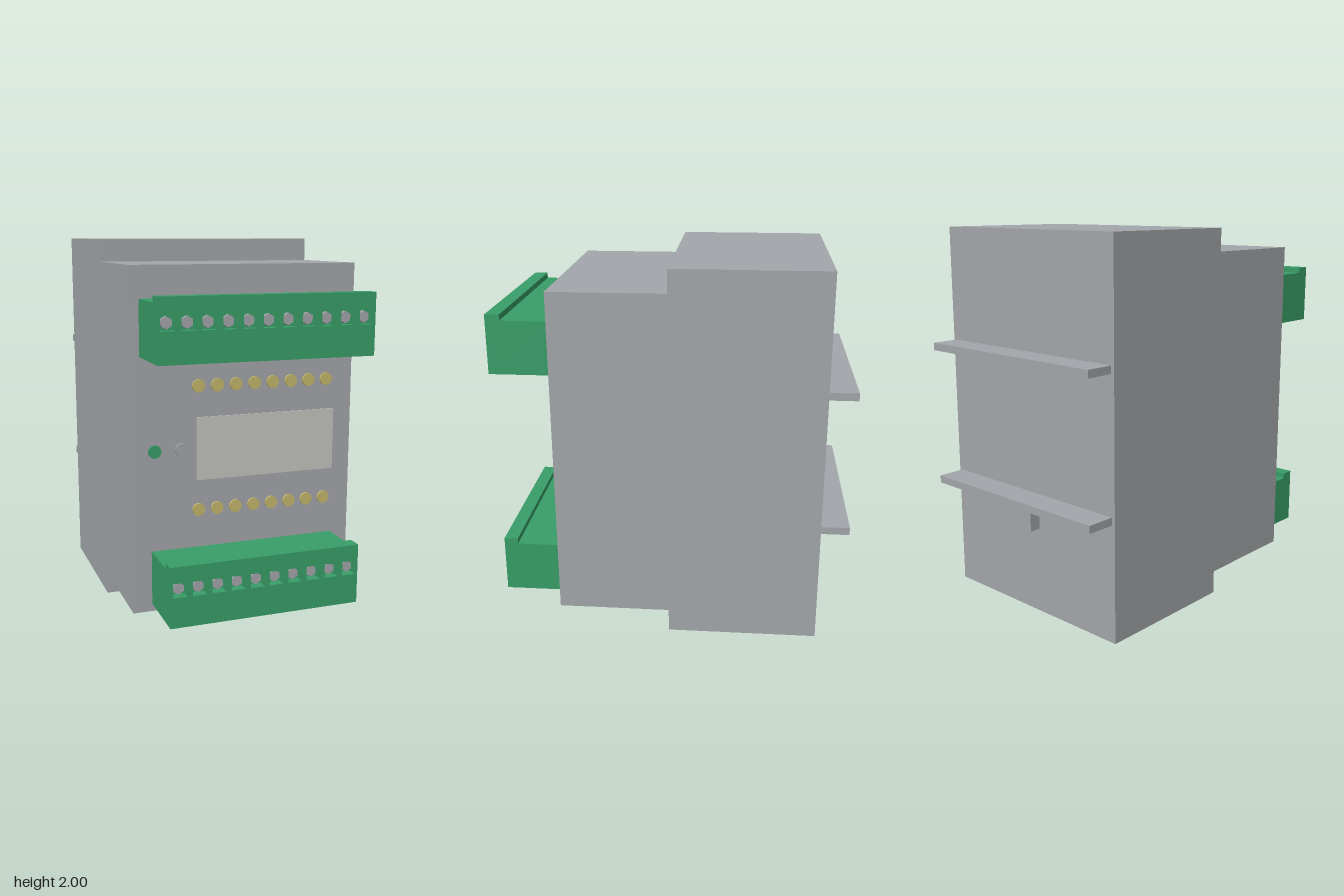
import * as THREE from 'three';

const mat = (name, color) => new THREE.MeshStandardMaterial({ name, color });

export function createModel() {
  const grey = mat('housing grey', 0xa3a6aa);
  const green = mat('terminal green', 0x389e67);
  const yellow = mat('lamp yellow', 0xc4b86c);
  const pale = mat('panel pale grey', 0xc3c3c0);
  const dark = mat('wire hole dark', 0x1c1f1e);

  const model = new THREE.Group();
  model.name = 'railModule';
  const FRONT = 0.615, BACK = -0.785;

  const add = (parent, name, geo, material) => {
    const mesh = new THREE.Mesh(geo, material);
    mesh.name = name;
    parent.add(mesh);
    return mesh;
  };
  // box given by its limits on each axis
  const box = (parent, name, material, [x0, x1], [y0, y1], [z0, z1]) =>
    add(parent, name, new THREE.BoxGeometry(x1 - x0, y1 - y0, z1 - z0), material)
      .position.set((x0 + x1) / 2, (y0 + y1) / 2, (z0 + z1) / 2);
  // round piece whose axis points to the front
  const disc = (parent, name, material, x, y, z0, z1, r, sides) => {
    const geo = new THREE.CylinderGeometry(r, r, z1 - z0, sides).rotateX(Math.PI / 2);
    add(parent, name, geo, material).position.set(x, y, (z0 + z1) / 2);
  };
  // slab in the XY plane with a row of square holes
  const slabWithHoles = (w, y0, y1, depth, xs, holeY, s) => {
    const shape = new THREE.Shape([
      [-w, y0], [w, y0], [w, y1], [-w, y1],
    ].map(p => new THREE.Vector2(...p)));
    for (const x of xs) {
      shape.holes.push(new THREE.Path([
        [x - s, holeY - s], [x - s, holeY + s], [x + s, holeY + s], [x + s, holeY - s],
      ].map(p => new THREE.Vector2(...p))));
    }
    return new THREE.ExtrudeGeometry(shape, { depth, bevelEnabled: false });
  };

  // stepped housing: side profile (z, y) swept along x
  const profile = new THREE.Shape([
    [BACK, 0], [0.015, 0], [0.015, 0.125], [FRONT, 0.125],
    [FRONT, 1.88], [0.015, 1.88], [0.015, 2], [BACK, 2],
  ].map(p => new THREE.Vector2(...p)));
  const housing = new THREE.ExtrudeGeometry(profile, { depth: 1.2, bevelEnabled: false });
  housing.translate(0, 0, -0.6).rotateY(-Math.PI / 2);
  // the sweep maps profile x to +z
  add(model, 'housing', housing, grey);

  // terminal blocks with screw windows in front and wire holes below
  const terminal = (name, count, y0) => {
    const g = new THREE.Group();
    g.name = name;
    model.add(g);
    const w = count * 0.05, zEnd = 0.935, zSlab = 0.885, floor = y0 + 0.05;
    const xs = Array.from({ length: count }, (_, i) => (i - (count - 1) / 2) * 0.1);
    const face = slabWithHoles(w, y0, y0 + 0.31, zEnd - zSlab, xs, y0 + 0.19, 0.036);
    face.translate(0, 0, zSlab);
    add(g, 'terminalFace', face, green);
    const base = slabWithHoles(w, FRONT, zSlab, 0.05, xs, 0.825, 0.032);
    base.rotateX(Math.PI / 2).translate(0, floor, 0);
    add(g, 'terminalBase', base, green);
    box(g, 'terminalBody', green, [-w, w], [floor, y0 + 0.28], [FRONT, zSlab]);
    box(g, 'terminalLip', green, [-w, w], [y0 + 0.28, y0 + 0.31], [0.86, zSlab]);
    for (const x of xs) {
      disc(g, 'screw', grey, x, y0 + 0.19, zSlab, 0.91, 0.03, 6);
      box(g, 'wireHole', dark, [x - 0.032, x + 0.032], [floor - 0.008, floor], [0.793, 0.857]);
    }
  };
  terminal('upperTerminal', 11, 1.44);
  terminal('lowerTerminal', 10, 0.165);

  // indicator lamps and label panel
  for (const y of [1.285, 0.645]) {
    for (let i = 0; i < 8; i++) {
      disc(model, 'channelLamp', yellow, -0.25 + i * 0.1, y, FRONT, 0.627, 0.033, 24);
    }
  }
  disc(model, 'powerLamp', green, -0.48, 0.965, FRONT, 0.627, 0.033, 24);
  disc(model, 'statusLamp', grey, -0.34, 0.965, FRONT, 0.627, 0.033, 24);
  box(model, 'labelPanel', pale, [-0.26, 0.5], [0.8, 1.125], [FRONT, 0.621]);

  // mounting ledges and clip on the back
  for (const y of [0.615, 1.355]) {
    box(model, 'mountingLedge', grey, [-0.58, 0.58], [y, y + 0.04], [-0.935, BACK]);
  }
  box(model, 'mountingClip', grey, [-0.06, 0.06], [0.465, 0.615], [-0.845, BACK]);

  return model;
}
